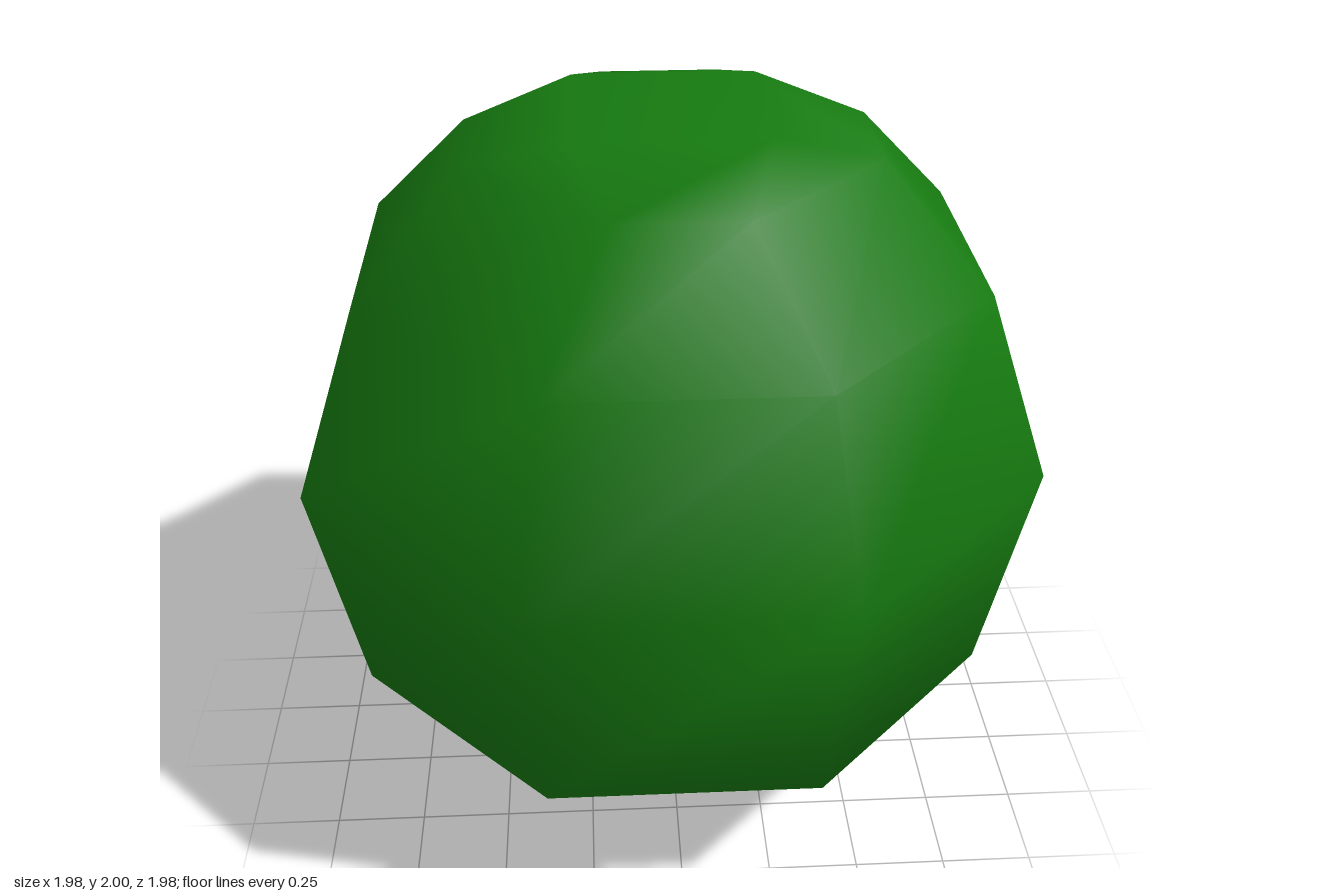
import * as THREE from 'three';

// Crown profile: [height, half width, half length of the flat side] of each eight-sided ring
const RINGS = [
  [0.435, 0.875, 0.362],
  [1.09, 0.99, 0.407],
  [1.6, 0.815, 0.338],
  [1.91, 0.54, 0.165],
];
// Square caps: [height, half width]
const BOTTOM = [0.32, 0.34];
const TOP = [2, 0.25];

function crownGeometry() {
  const pos = [];
  const index = [];
  const quad = (a, b, c, d) => index.push(a, b, c, a, c, d);

  // Eight-sided rings, counterclockwise from above
  for (const [y, w, b] of RINGS) {
    const ring = [[b, w], [w, b], [w, -b], [b, -w], [-b, -w], [-w, -b], [-w, b], [-b, w]];
    for (const [x, z] of ring) pos.push(x, y, z);
  }
  for (let r = 0; r < RINGS.length - 1; r++) {
    for (let k = 0; k < 8; k++) {
      const a = r * 8 + k;
      const b = r * 8 + ((k + 1) % 8);
      quad(a, b, b + 8, a + 8);
    }
  }

  // A square face joined to a ring by triangles at the corners and quads at the sides
  const cap = ([y, s], ring, up) => {
    const c = pos.length / 3;
    for (const [x, z] of [[s, s], [s, -s], [-s, -s], [-s, s]]) pos.push(x, y, z);
    const face = (...v) => {
      if (!up) v.reverse();
      if (v.length === 3) index.push(...v);
      else quad(...v);
    };
    for (let j = 0; j < 4; j++) {
      const k = ring * 8 + 2 * j;
      const next = ring * 8 + ((2 * j + 2) % 8);
      face(k, k + 1, c + j);
      face(k + 1, next, c + ((j + 1) % 4), c + j);
    }
    face(c, c + 1, c + 2, c + 3);
  };
  cap(BOTTOM, 0, false);
  cap(TOP, RINGS.length - 1, true);

  const geo = new THREE.BufferGeometry();
  geo.setAttribute('position', new THREE.Float32BufferAttribute(pos, 3));
  geo.setIndex(index);
  geo.computeVertexNormals();
  return geo;
}

export function createModel() {
  const group = new THREE.Group();
  group.name = 'tree';

  // Leafy crown
  const crown = new THREE.Mesh(
    crownGeometry(),
    new THREE.MeshStandardMaterial({ color: 0x167a10 })
  );
  crown.name = 'crown';
  group.add(crown);

  // Square trunk with softly shaded sides, running up into the crown
  const height = 0.5;
  const trunkGeo = new THREE.CylinderGeometry(0.145, 0.145, height, 4);
  trunkGeo.rotateY(Math.PI / 4);
  trunkGeo.translate(0, height / 2, 0);
  const trunk = new THREE.Mesh(
    trunkGeo,
    new THREE.MeshStandardMaterial({ color: 0x6d483d })
  );
  trunk.name = 'trunk';
  group.add(trunk);

  return group;
}
